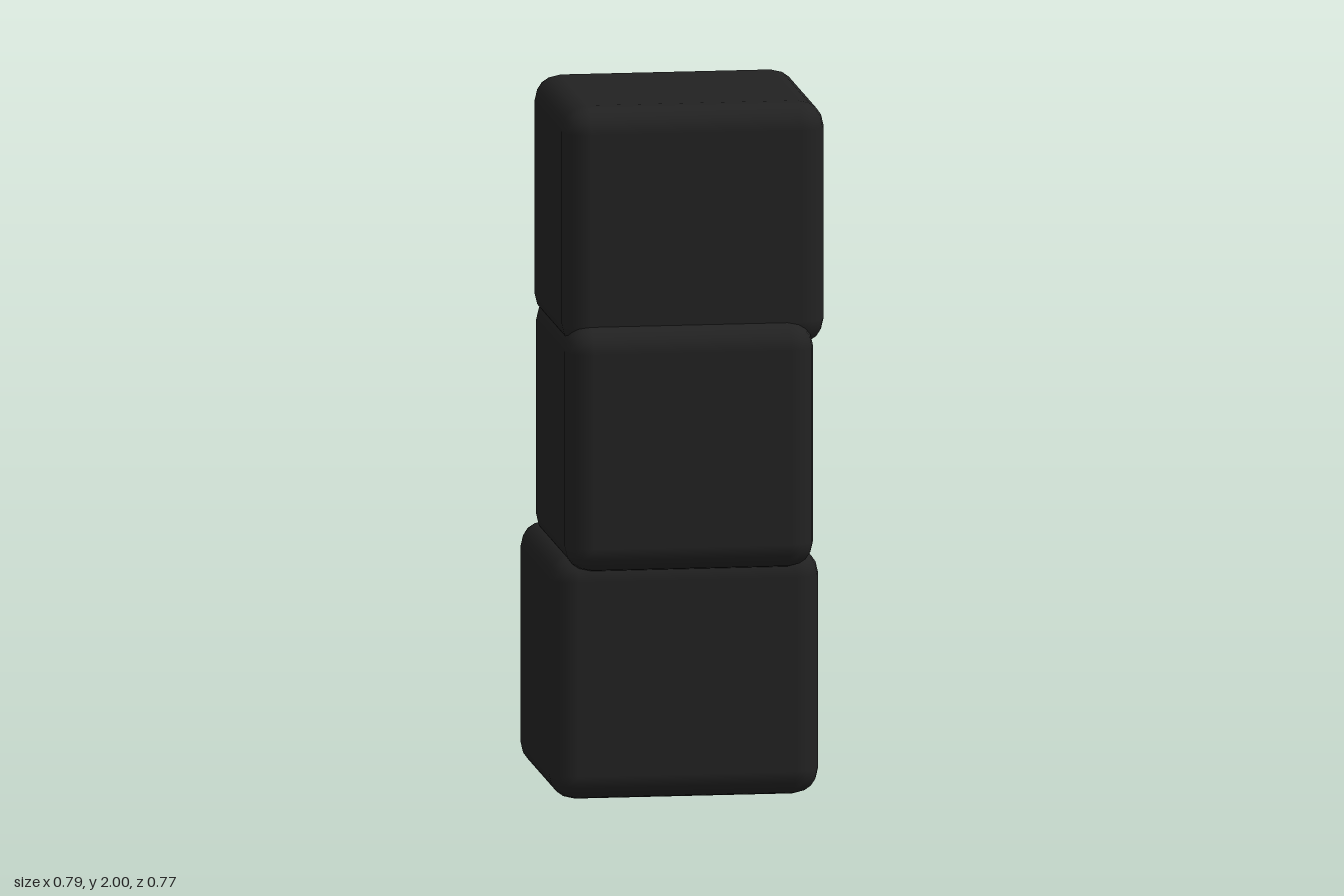
import * as THREE from 'three';
import { RoundedBoxGeometry } from 'three/addons/geometries/RoundedBoxGeometry.js';

// Extents of each block: min corner, max corner
const blocks = [
  { name: 'bottomBlock', min: [-0.397, 0, -0.388], max: [0.378, 0.71, 0.327] },
  { name: 'middleBlock', min: [-0.36, 0.665, -0.33], max: [0.355, 1.375, 0.386] },
  { name: 'topBlock', min: [-0.36, 1.298, -0.364], max: [0.394, 2, 0.326] },
];

export function createModel() {
  const model = new THREE.Group();
  model.name = 'blockStack';
  const charcoal = new THREE.MeshStandardMaterial({ color: 0x222222 });
  charcoal.name = 'charcoal';

  // Three softly bevelled blocks, slightly offset and sunk into each other
  for (const { name, min, max } of blocks) {
    const box = new THREE.Box3(new THREE.Vector3(...min), new THREE.Vector3(...max));
    const size = box.getSize(new THREE.Vector3());
    const mesh = new THREE.Mesh(new RoundedBoxGeometry(size.x, size.y, size.z, 2, 0.075), charcoal);
    mesh.name = name;
    box.getCenter(mesh.position);
    model.add(mesh);
  }
  return model;
}
